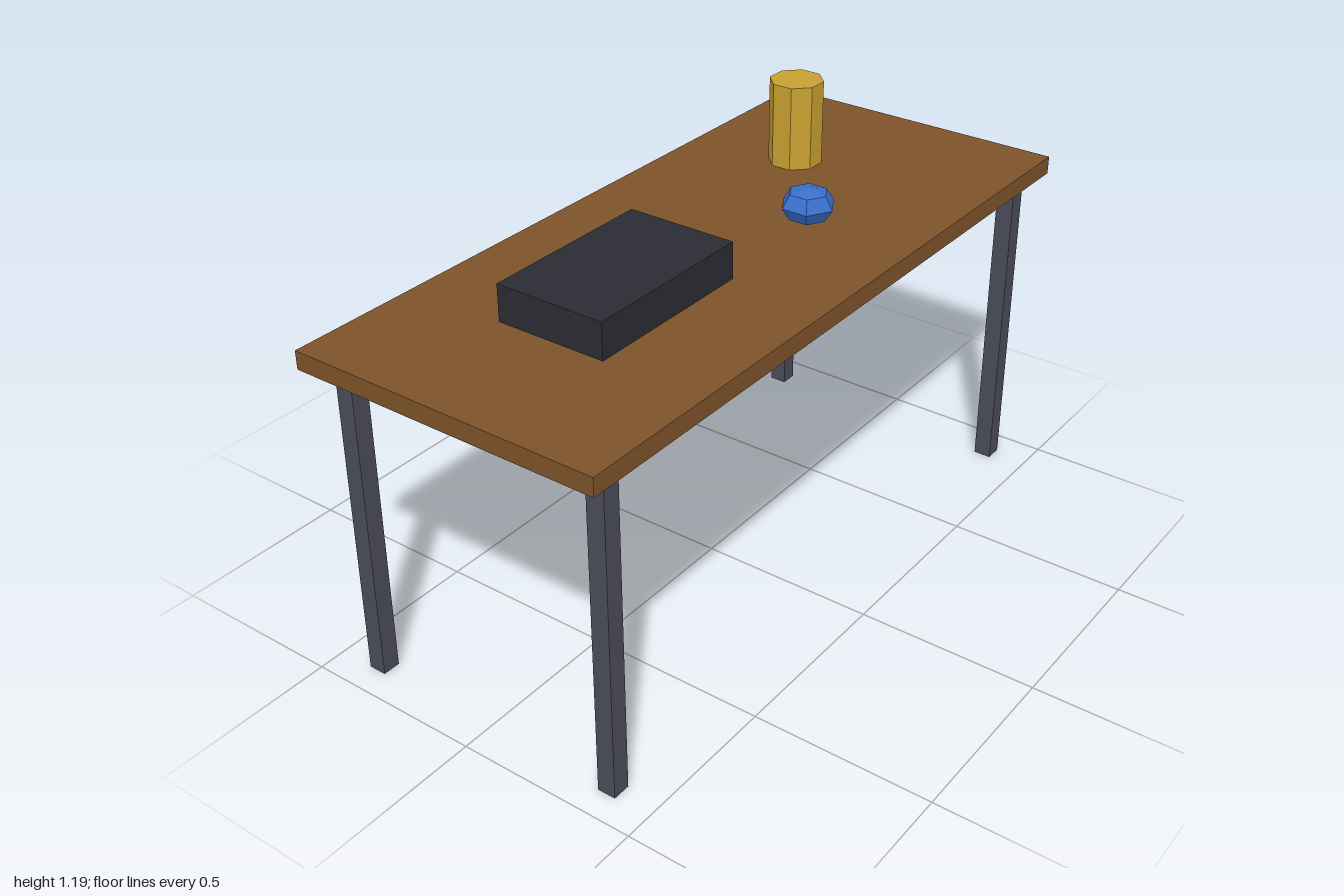
import * as THREE from 'three';

function material(name, color) {
  const m = new THREE.MeshStandardMaterial({ color, flatShading: true });
  m.name = name;
  return m;
}

export function createModel() {
  const group = new THREE.Group();
  group.name = 'deskWithObjects';

  const wood = material('wood', 0x7d532a);
  const steel = material('steel', 0x4a4c5a);
  const charcoal = material('charcoal', 0x2b2b34);
  const gold = material('gold', 0xc9a132);
  const blue = material('blue', 0x3a6ecb);

  const add = (name, geometry, mat, x, y, z) => {
    const mesh = new THREE.Mesh(geometry, mat);
    mesh.name = name;
    mesh.position.set(x, y, z);
    group.add(mesh);
    return mesh;
  };

  // Table: top and four square legs
  add('tabletop', new THREE.BoxGeometry(2, 0.05, 0.875), wood, 0, 0.925, 0);
  const legGeometry = new THREE.BoxGeometry(0.05, 0.9, 0.05);
  for (const [side, x] of [['Left', 0.9], ['Right', -0.9]]) {
    for (const [end, z] of [['front', 0.375], ['back', -0.375]]) {
      add(`${end}${side}Leg`, legGeometry, steel, x, 0.45, z);
    }
  }

  // Flat dark box
  add('box', new THREE.BoxGeometry(0.5, 0.1, 0.3125), charcoal, -0.375, 1, 0);

  // Eight-sided canister with flats facing the axes
  const canister = new THREE.CylinderGeometry(0.075, 0.075, 0.2375, 8);
  canister.rotateY(Math.PI / 8);
  add('canister', canister, gold, 0.5625, 1.06875, -0.125);

  // Squashed six-sided gem with points toward front and back
  const gem = new THREE.SphereGeometry(0.075, 6, 4);
  gem.rotateY(Math.PI / 2);
  gem.scale(1, 2 / 3, 1);
  add('gem', gem, blue, 0.25, 1, 0.125);

  return group;
}
